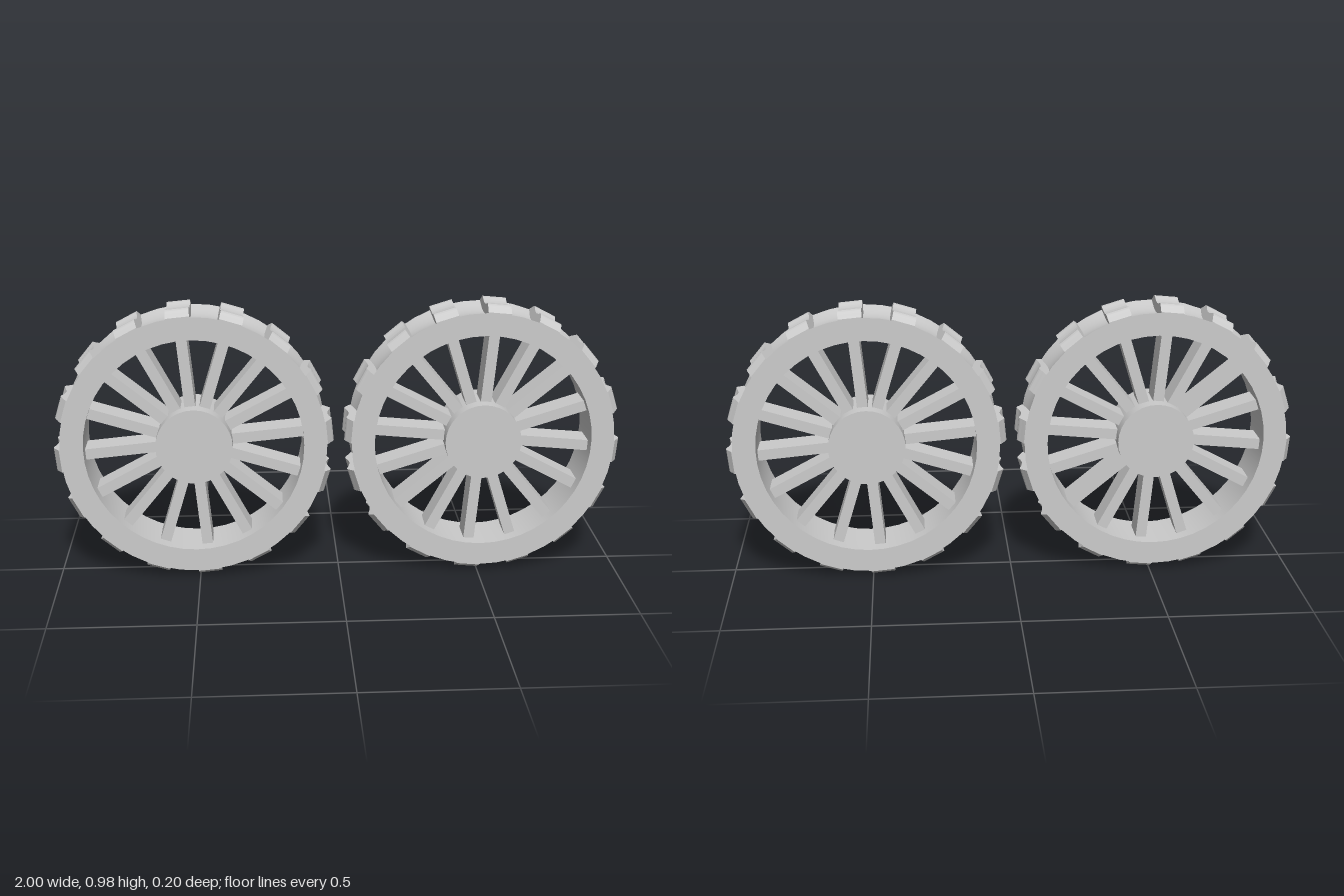
import * as THREE from 'three';
import { toCreasedNormals } from 'three/addons/utils/BufferGeometryUtils.js';

const COUNT = 16;               // spokes and treads per wheel
const OFFSET = -5.4;            // degrees, angle of the first spoke and tread
const HALF_WIDTH = 0.1;
const RIM_INNER = 0.385;
const HUB_RADIUS = 0.135;

const material = new THREE.MeshStandardMaterial({ color: 0xcccccc });

function part(name, geometry) {
  const mesh = new THREE.Mesh(toCreasedNormals(geometry, 0.5), material);
  mesh.name = name;
  return mesh;
}

// Ring with a flat face on each side and a shallow hollow around the outside
function rimGeometry() {
  const w = HALF_WIDTH;
  const profile = [
    [RIM_INNER, -w], [0.466, -w], [0.456, -0.065], [0.449, -0.035], [0.447, 0],
    [0.449, 0.035], [0.456, 0.065], [0.466, w], [RIM_INNER, w], [RIM_INNER, -w],
  ].map(([r, y]) => new THREE.Vector2(r, y));
  return new THREE.LatheGeometry(profile, 48).rotateX(Math.PI / 2);
}

// Tread block with two humps across the width, extruded along the tangent
function treadGeometry() {
  const w = HALF_WIDTH, length = 0.082;
  const humps = [
    [0.085, 0.476], [0.06, 0.489], [0.03, 0.481], [0, 0.477],
    [-0.03, 0.481], [-0.06, 0.489], [-0.085, 0.476], [-w, 0.467],
  ].map(([x, y]) => new THREE.Vector2(x, y));
  const shape = new THREE.Shape();
  shape.moveTo(-w, 0.44);
  shape.lineTo(w, 0.44);
  shape.lineTo(w, 0.467);
  shape.splineThru(humps);
  const geometry = new THREE.ExtrudeGeometry(shape, { depth: length, bevelEnabled: false, curveSegments: 16 });
  return geometry.translate(0, 0, -length / 2).rotateY(Math.PI / 2);
}

function createWheel(name) {
  const wheel = new THREE.Group();
  wheel.name = name;
  wheel.add(part('rim', rimGeometry()));
  wheel.add(part('hub', new THREE.CylinderGeometry(HUB_RADIUS, HUB_RADIUS, 2 * HALF_WIDTH, 32).rotateX(Math.PI / 2)));

  // Spokes run from inside the hub into the rim, in line with the treads
  const start = HUB_RADIUS - 0.015, end = RIM_INNER + 0.01;
  const spoke = part('spoke', new THREE.BoxGeometry(0.038, end - start, 0.1).translate(0, (start + end) / 2, 0));
  const tread = part('tread', treadGeometry());
  for (let i = 0; i < COUNT; i++) {
    const angle = THREE.MathUtils.degToRad(OFFSET - 90 + (i * 360) / COUNT);
    for (const source of [spoke, tread]) {
      const copy = source.clone();
      copy.rotation.z = angle;
      wheel.add(copy);
    }
  }
  return wheel;
}

export function createModel() {
  const model = new THREE.Group();
  model.name = 'wheelPair';
  const left = createWheel('leftWheel');
  left.position.set(0.509, 0.491, 0);
  // The other wheel is the same one turned half round
  const right = createWheel('rightWheel');
  right.position.set(-0.509, 0.491, 0);
  right.rotation.y = Math.PI;
  model.add(left, right);
  return model;
}
